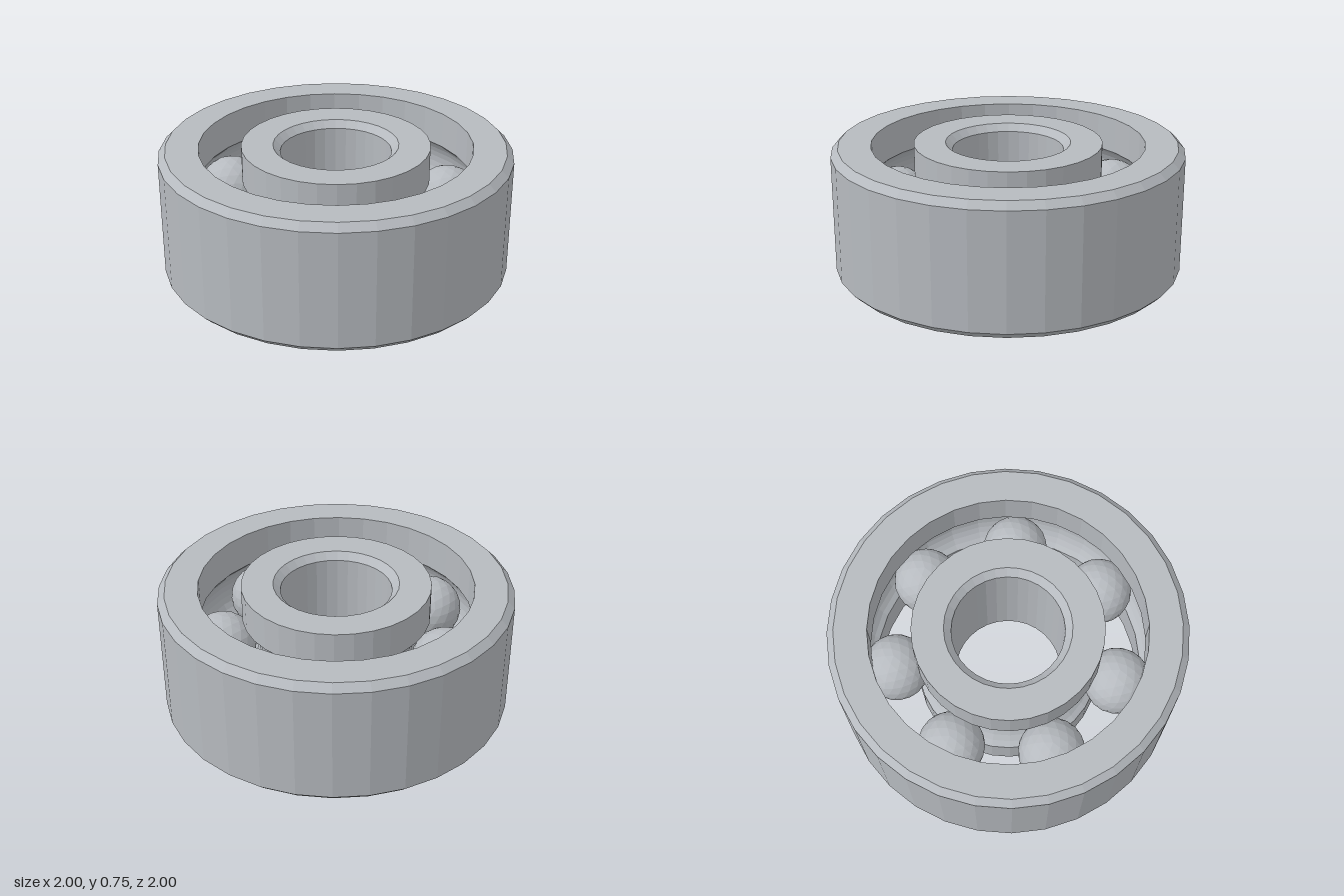
import * as THREE from 'three';

const HEIGHT = 0.75, MID = HEIGHT / 2, CHAMFER = 0.04;
const ORBIT = 0.65, BALL_RADIUS = 0.19, BALLS = 7;
const GROOVE_RADIUS = 0.207, SIDES = 32;

// Flat-faceted copy of a geometry
function faceted(geometry) {
  const flat = geometry.index ? geometry.toNonIndexed() : geometry;
  flat.computeVertexNormals();
  return flat;
}

// Ball-track arc where a ring wall of the given radius meets the groove circle;
// side is +1 for the outer ring (runs downwards), -1 for the inner (runs upwards)
function groove(wallRadius, side, steps = 10) {
  const half = Math.acos(Math.abs(wallRadius - ORBIT) / GROOVE_RADIUS);
  const points = [];
  for (let i = 0; i <= steps; i++) {
    const a = half * (1 - (2 * i) / steps);
    points.push([ORBIT + side * GROOVE_RADIUS * Math.cos(a), MID + side * GROOVE_RADIUS * Math.sin(a)]);
  }
  return points;
}

// Ring turned from a closed profile of [radius, height] points
function ring(name, profile, material) {
  const points = [...profile, profile[0]].map(([r, y]) => new THREE.Vector2(r, y));
  const mesh = new THREE.Mesh(faceted(new THREE.LatheGeometry(points, SIDES)), material);
  mesh.name = name;
  return mesh;
}

export function createModel() {
  const group = new THREE.Group();
  group.name = 'ballBearing';
  const steel = new THREE.MeshStandardMaterial({ color: 0xb6babf });
  steel.name = 'steel';

  // Outer ring: chamfered outside, ball track inside
  const outerWall = 0.775;
  group.add(ring('outerRing', [
    [1 - CHAMFER, 0], [1, CHAMFER], [1, HEIGHT - CHAMFER], [1 - CHAMFER, HEIGHT],
    [outerWall, HEIGHT], ...groove(outerWall, 1), [outerWall, 0],
  ], steel));

  // Inner ring: ball track outside, chamfered bore
  const innerWall = 0.535, bore = 0.315;
  group.add(ring('innerRing', [
    [innerWall, 0], ...groove(innerWall, -1), [innerWall, HEIGHT],
    [bore + CHAMFER, HEIGHT], [bore, HEIGHT - CHAMFER], [bore, CHAMFER], [bore + CHAMFER, 0],
  ], steel));

  // Balls, each with a vertex pointing straight up
  const ballGeometry = faceted(new THREE.IcosahedronGeometry(BALL_RADIUS, 3));
  ballGeometry.rotateZ(-Math.atan(2 / (1 + Math.sqrt(5))));
  const balls = new THREE.Group();
  balls.name = 'balls';
  for (let i = 0; i < BALLS; i++) {
    const a = (i / BALLS) * Math.PI * 2;
    const ball = new THREE.Mesh(ballGeometry, steel);
    ball.name = 'ball';
    ball.position.set(ORBIT * Math.cos(a), MID, ORBIT * Math.sin(a));
    balls.add(ball);
  }
  group.add(balls);
  return group;
}
